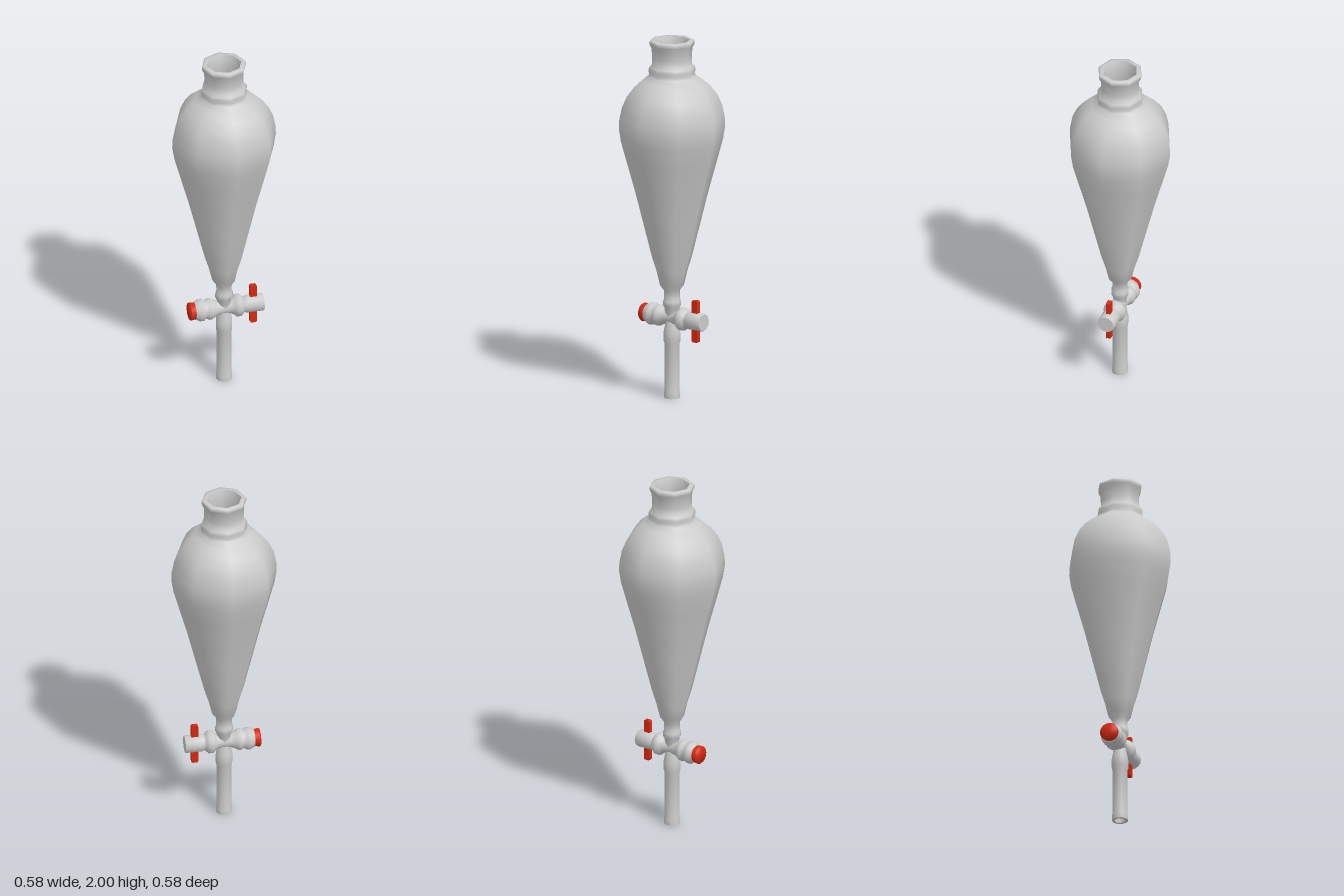
import * as THREE from 'three';
import { toCreasedNormals } from 'three/addons/utils/BufferGeometryUtils.js';

const grey = new THREE.MeshStandardMaterial({ color: 0xcccccc });
const red = new THREE.MeshStandardMaterial({ color: 0xd42a12 });

// Turned part from [radius, height] pairs; rising points face outward
function turned(name, points, sides, material, crease = 0.9) {
  const profile = points.map(([r, y]) => new THREE.Vector2(r, y));
  const geometry = toCreasedNormals(new THREE.LatheGeometry(profile, sides), crease);
  const mesh = new THREE.Mesh(geometry, material);
  mesh.name = name;
  return mesh;
}

export function createModel() {
  const model = new THREE.Group();
  model.name = 'separatingFunnel';

  // Eight-sided hollow vessel: outside going up, over the lip, inside going down
  const outside = [
    [0.036, 0.46], [0.042, 0.505], [0.05, 0.52], [0.05, 0.54], [0.043, 0.555], [0.044, 0.6],
    [0.066, 0.63], [0.085, 0.71], [0.11, 0.79], [0.145, 0.93], [0.2, 1.15], [0.25, 1.33],
    [0.28, 1.44], [0.291, 1.51], [0.289, 1.56], [0.275, 1.63], [0.248, 1.69], [0.21, 1.74],
    [0.165, 1.778], [0.132, 1.8], [0.126, 1.815], [0.13, 1.835], [0.125, 1.852], [0.111, 1.865],
    [0.109, 1.9], [0.112, 1.955], [0.122, 1.975], [0.125, 1.99], [0.12, 2],
  ];
  const inside = [
    [0.097, 2], [0.088, 1.975], [0.085, 1.94], [0.085, 1.86], [0.11, 1.79], [0.19, 1.73],
    [0.25, 1.64], [0.272, 1.52], [0.232, 1.33], [0.125, 0.93], [0.068, 0.71], [0.03, 0.61],
    [0.014, 0.57], [0.014, 0.47],
  ];
  model.add(turned('vessel', [...outside, ...inside], 8, grey, 1.2));

  // Outlet stem with an open lower end
  model.add(turned('stem', [
    [0.03, 0.3], [0.03, 0], [0.044, 0], [0.044, 0.03], [0.041, 0.045], [0.041, 0.3],
    [0.046, 0.315], [0.046, 0.365], [0.041, 0.39], [0.034, 0.43],
  ], 12, grey));
  const plug = turned('stemBore', [[0, 0.3], [0.031, 0.3]], 12, grey);
  plug.material = grey.clone();
  plug.material.side = THREE.DoubleSide;
  model.add(plug);

  // Stopcock lying along x
  const stopcock = new THREE.Group();
  stopcock.name = 'stopcock';
  stopcock.position.y = 0.45;
  const axle = new THREE.Group();
  axle.name = 'valveAxle';
  axle.rotation.z = -Math.PI / 2;
  axle.add(
    turned('barrel', [
      [0, -0.165], [0.05, -0.165], [0.053, -0.155], [0.062, -0.142], [0.062, -0.122],
      [0.052, -0.11], [0.052, -0.102], [0.06, -0.09], [0.06, -0.075], [0.05, -0.06],
      [0.04, -0.035], [0.037, 0], [0.04, 0.035], [0.052, 0.055], [0.063, 0.066],
      [0.063, 0.088], [0.052, 0.1], [0.042, 0.108], [0.04, 0.125], [0, 0.125],
    ], 16, grey),
    turned('plugKnob', [
      [0, 0.11], [0.043, 0.11], [0.049, 0.125], [0.049, 0.212], [0.046, 0.218], [0, 0.218],
    ], 16, grey),
    turned('retainingNut', [
      [0, -0.198], [0.046, -0.198], [0.051, -0.192], [0.047, -0.165], [0.047, -0.15], [0, -0.15],
    ], 16, red),
  );
  stopcock.add(axle);

  // Thin rounded handle through the knob
  const w = 0.019, h = 0.117, c = 0.01;
  const outline = new THREE.Shape();
  outline.moveTo(-w + c, -h);
  outline.lineTo(w - c, -h);
  outline.quadraticCurveTo(w, -h, w, -h + c);
  outline.lineTo(w, h - c);
  outline.quadraticCurveTo(w, h, w - c, h);
  outline.lineTo(-w + c, h);
  outline.quadraticCurveTo(-w, h, -w, h - c);
  outline.lineTo(-w, -h + c);
  outline.quadraticCurveTo(-w, -h, -w + c, -h);
  const bar = new THREE.ExtrudeGeometry(outline, { depth: 0.024, bevelEnabled: false, curveSegments: 4 });
  bar.translate(0.163, 0, -0.012);
  const handle = new THREE.Mesh(toCreasedNormals(bar, 0.9), red);
  handle.name = 'handle';
  stopcock.add(handle);
  model.add(stopcock);

  return model;
}
